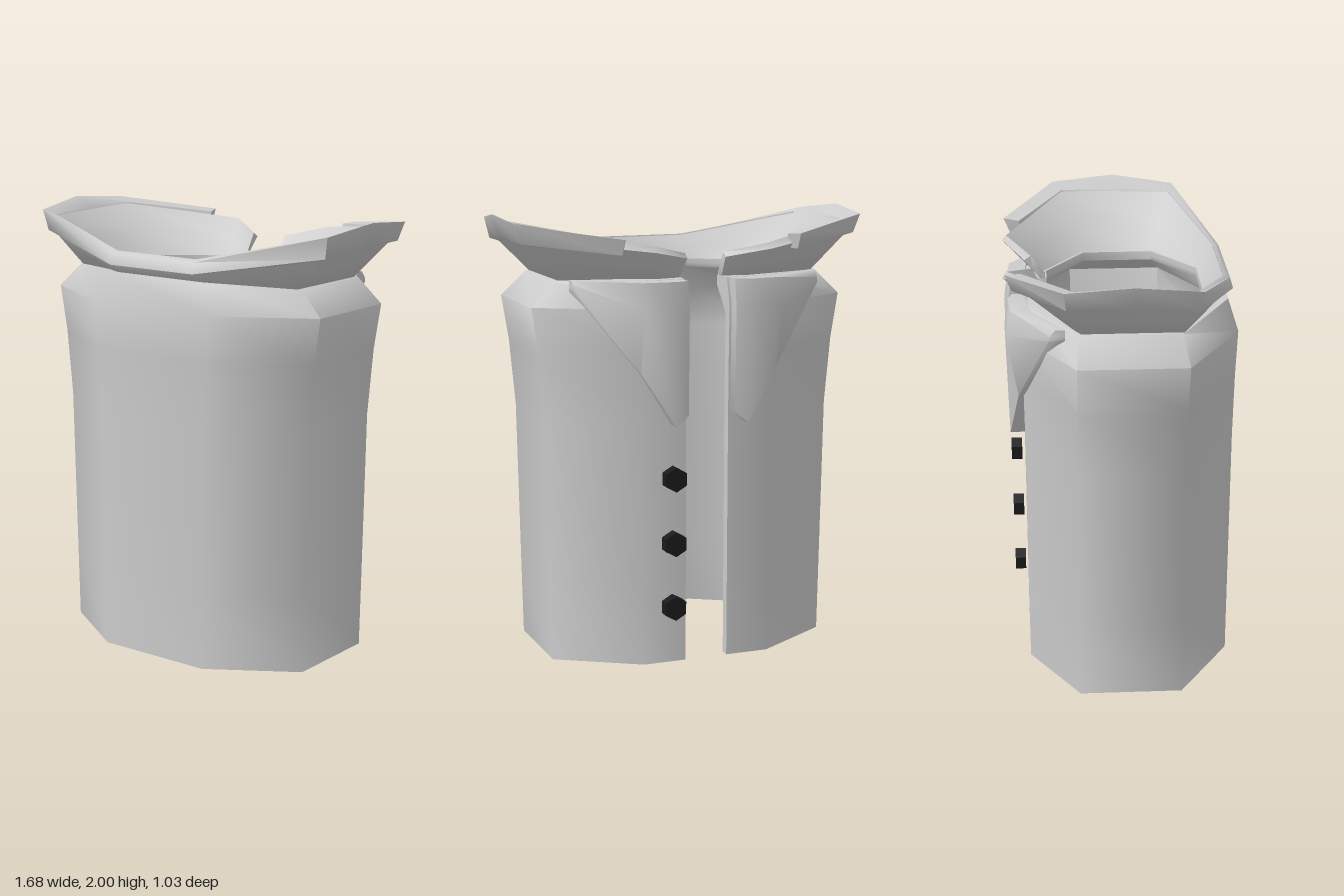
import * as THREE from 'three';
import { toCreasedNormals } from 'three/addons/utils/BufferGeometryUtils.js';

const fabric = new THREE.MeshStandardMaterial({ color: 0xcccccc, side: THREE.DoubleSide });
const buttonMaterial = new THREE.MeshStandardMaterial({ color: 0x1a1a1a });

// Solid strip: each section lists outer points going up and the matching inner points going up.
function loft(sections) {
  const m = sections[0].outer.length, n = 2 * m;
  const loops = sections.map(s => [...s.outer, ...[...s.inner].reverse()]);
  const index = [];
  const quad = (a, b, c, d) => index.push(a, b, c, a, c, d);
  for (let i = 0; i < loops.length - 1; i++) {
    for (let j = 0; j < n; j++) {
      const k = (j + 1) % n, a = i * n, b = a + n;
      quad(a + j, a + k, b + k, b + j);
    }
  }
  const last = (loops.length - 1) * n;
  for (let j = 0; j < m - 1; j++) {
    quad(j, n - 1 - j, n - 2 - j, j + 1);
    quad(last + j, last + j + 1, last + n - 2 - j, last + n - 1 - j);
  }
  const g = new THREE.BufferGeometry();
  g.setAttribute('position', new THREE.Float32BufferAttribute(loops.flat(2), 3));
  g.setIndex(index);
  return toCreasedNormals(g, 1.05);
}

const flip = ps => ps.map(([x, y, z]) => [-x, y, z]);
const mirrored = half => half.map(s => ({ outer: flip(s.outer), inner: flip(s.inner) })).reverse();
const lerp = (a, b, t) => a.map((v, i) => v + (b[i] - v) * t);

function mesh(name, geometry, material = fabric) {
  const part = new THREE.Mesh(geometry, material);
  part.name = name;
  return part;
}

// Plans run from the front opening round to the middle of the back: [x, z]
const bodyPlan = [[0.1, -0.42], [0.3, -0.42], [0.66, -0.2], [0.66, 0.26], [0.28, 0.5]];
const neckPlan = [[0.09, -0.31], [0.2, -0.31], [0.46, -0.13], [0.46, 0.19], [0.2, 0.38]];

function bodyGeometry() {
  // [y, x scale, z scale]
  const levels = [[0, 1, 1], [0.35, 1.01, 1.003], [1.1, 1.03, 1.01], [1.4, 1.07, 1.02],
    [1.61, 1.12, 1.035], [1.73, 0.95, 0.95]];
  const half = bodyPlan.map(([x, z], i) => {
    const wide = i === 0 ? () => x : k => x * k;
    const lift = i === 4 ? 0.015 : i === 2 || i === 3 ? -0.01 : 0;
    const [nx, nz] = neckPlan[i];
    const outer = levels.map(([y, kx, kz], l) => [wide(kx), y + (l === 5 ? lift : 0), z * kz]);
    const inner = levels.map(([y, kx, kz], l) => l === 5
      ? [nx, 1.69, nz] : [wide(kx * 0.94), Math.min(y, 1.57), z * kz * 0.9]);
    outer.push([nx, 1.73, nz]);
    inner.push([nx, 1.71, nz]);
    return { outer, inner };
  });
  return loft([...half, ...mirrored(half)]);
}

// Flared collar standing on the neckline
function collarGeometry() {
  const rows = [ // base outside, rim outside, rim inside
    [[0.10, 1.73, -0.34], [0.09, 1.82, -0.41], [0.09, 1.84, -0.38]],
    [[0.22, 1.73, -0.36], [0.27, 1.86, -0.51], [0.26, 1.885, -0.49]],
    [[0.60, 1.71, -0.18], [0.78, 1.91, -0.24], [0.74, 1.95, -0.22]],
    [[0.60, 1.71, 0.25], [0.77, 1.89, 0.30], [0.74, 1.94, 0.29]],
    [[0.24, 1.74, 0.44], [0.23, 1.79, 0.48], [0.22, 1.835, 0.455]]
  ];
  const half = rows.map(([base, rim, top], i) => {
    const foot = [neckPlan[i][0], 1.72, neckPlan[i][1]];
    return {
      outer: [base, lerp(base, rim, 0.5), rim],
      inner: [foot, lerp(foot, top, 0.5), top]
    };
  });
  return loft([...half, ...mirrored(half)]);
}

// Thick folded edge around the collar, stopping short of the front
function collarFoldGeometry() {
  const rows = [ // low outside, top outside, low inside, top inside
    [[0.41, 1.85, -0.47], [0.41, 1.92, -0.50], [0.39, 1.85, -0.41], [0.38, 1.915, -0.43]],
    [[0.79, 1.89, -0.25], [0.82, 1.975, -0.26], [0.72, 1.87, -0.21], [0.74, 1.955, -0.22]],
    [[0.81, 1.90, 0.03], [0.84, 2.00, 0.03], [0.72, 1.87, 0.03], [0.745, 1.955, 0.03]],
    [[0.78, 1.87, 0.30], [0.80, 1.965, 0.315], [0.72, 1.85, 0.28], [0.74, 1.945, 0.29]],
    [[0.23, 1.78, 0.50], [0.23, 1.83, 0.485], [0.22, 1.78, 0.45], [0.22, 1.84, 0.46]]
  ];
  const half = rows.map(([a, b, c, d]) => ({ outer: [a, b], inner: [c, d] }));
  return loft([...half, ...mirrored(half)]);
}

// Pointed lapel lying on one front panel
function lapelSections() {
  const rows = [ // x, bottom y, bottom z, middle z, top z, inner z
    [0.11, 1.14, -0.48, -0.49, -0.47, -0.41],
    [0.17, 1.09, -0.49, -0.505, -0.49, -0.41],
    [0.32, 1.33, -0.45, -0.50, -0.48, -0.40],
    [0.58, 1.68, -0.32, -0.315, -0.29, -0.25]
  ];
  return rows.map(([x, y, zb, zm, zt, zi]) => {
    const heights = [y, Math.max(1.61, y + 0.02), 1.73];
    return {
      outer: [zb, zm, zt].map((z, i) => [x, heights[i], z]),
      inner: heights.map(h => [x, h, zi])
    };
  });
}

export function createModel() {
  const model = new THREE.Group();
  model.name = 'vest';
  model.add(
    mesh('body', bodyGeometry()),
    mesh('collar', collarGeometry()),
    mesh('collarFold', collarFoldGeometry()),
    mesh('leftLapel', loft(lapelSections())),
    mesh('rightLapel', loft(mirrored(lapelSections())))
  );

  // Hexagonal buttons down the left panel
  const buttons = new THREE.Group();
  buttons.name = 'buttons';
  const shape = toCreasedNormals(new THREE.CylinderGeometry(0.056, 0.056, 0.05, 6).rotateX(Math.PI / 2), 0.5);
  [0.265, 0.56, 0.855].forEach((y, i) => {
    const button = mesh('button' + (i + 1), shape, buttonMaterial);
    button.position.set(0.17, y, -0.457 - i * 0.003);
    buttons.add(button);
  });
  model.add(buttons);
  return model;
}
